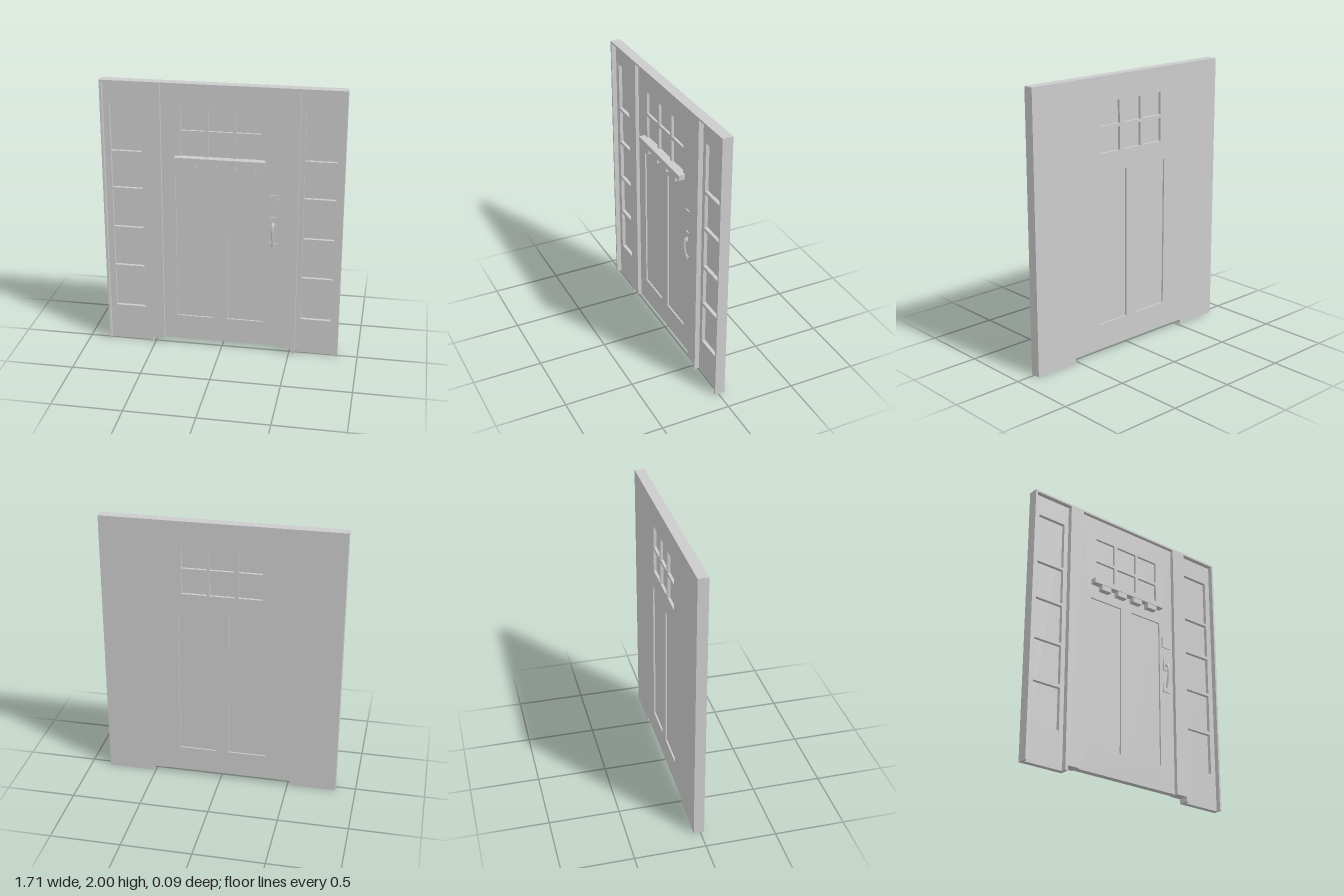
import * as THREE from 'three';

const mat = new THREE.MeshStandardMaterial({ color: 0xcccccc, flatShading: true });
const smooth = new THREE.MeshStandardMaterial({ color: 0xcccccc });

// depth levels
const BACK = -0.047, FRONT = 0.027, DOOR = 0, SIDE = -0.008;

export function createModel() {
  const root = new THREE.Group();

  const add = (name, geo, parent = root, m = mat) => {
    const mesh = new THREE.Mesh(geo, m);
    mesh.name = name;
    parent.add(mesh);
    return mesh;
  };

  const group = (name) => {
    const g = new THREE.Group();
    g.name = name;
    root.add(g);
    return g;
  };

  // box given by its limits
  const box = (name, x0, x1, y0, y1, z0, z1, parent) =>
    add(name, new THREE.BoxGeometry(x1 - x0, y1 - y0, z1 - z0)
      .translate((x0 + x1) / 2, (y0 + y1) / 2, (z0 + z1) / 2), parent);

  const rectPoints = ([x0, x1, y0, y1]) =>
    [[x0, y0], [x1, y0], [x1, y1], [x0, y1]].map(([x, y]) => new THREE.Vector2(x, y));

  // flat slab with rectangular openings
  const slab = (name, points, openings, z0, z1, parent) => {
    const shape = new THREE.Shape(points);
    openings.forEach((o) => shape.holes.push(new THREE.Path(rectPoints(o).reverse())));
    const geo = new THREE.ExtrudeGeometry(shape, { depth: z1 - z0, bevelEnabled: false });
    return add(name, geo.translate(0, 0, z0), parent);
  };

  // frame: head, outer jambs and mullions in one comb-shaped outline
  const half = [
    [0.43, 1.985], [0.43, 0.035], [0.52, 0.035], [0.52, 0], [0.542, 0], [0.542, 1.985],
    [0.84, 1.985], [0.84, 0], [0.855, 0], [0.855, 2],
  ];
  const outline = [
    ...half,
    ...half.map(([x, y]) => [-x, y]).reverse(),
  ].map(([x, y]) => new THREE.Vector2(x, y));
  slab('frame', outline, [], BACK, FRONT);

  // side windows, closed at the back
  const rows = [[0.27, 0.572], [0.598, 0.88], [0.902, 1.182], [1.205, 1.462], [1.482, 1.832]];
  for (const s of [1, -1]) {
    const g = group(s > 0 ? 'leftSidelight' : 'rightSidelight');
    const span = (a, b) => (s > 0 ? [a, b] : [-b, -a]);
    const [x0, x1] = span(0.542, 0.84);
    const panes = rows.map((r) => [...span(0.577, 0.797), ...r]);
    slab('sidelightSash', rectPoints([x0, x1, 0, 1.985]), panes, -0.033, SIDE, g);
    box('sidelightGlass', x0, x1, 0, 1.985, BACK, -0.033, g);
  }

  // door leaf
  const door = group('door');
  const lites = [];
  for (const x of [[-0.292, -0.122], [-0.096, 0.078], [0.1, 0.276]])
    for (const y of [[1.47, 1.637], [1.66, 1.822]]) lites.push([...x, ...y]);
  const panels = [[-0.333, -0.058, 0.226, 1.33], [0.038, 0.306, 0.226, 1.33]];
  slab('doorLeaf', rectPoints([-0.43, 0.43, 0.04, 1.985]), [...lites, ...panels], BACK, DOOR, door);
  lites.forEach(([a, b, c, d]) => box('doorGlass', a, b, c, d, -0.027, -0.018, door));
  panels.forEach(([a, b, c, d]) => box('doorPanel', a, b, c, d, -0.035, -0.012, door));

  // shelf with dentils
  const shelf = group('shelf');
  box('shelfBoard', -0.333, 0.306, 1.435, 1.473, DOOR, 0.047, shelf);
  for (const x of [-0.265, -0.12, 0.02, 0.16])
    box('dentil', x, x + 0.082, 1.398, 1.435, DOOR, 0.043, shelf);

  // lock and handle
  const lock = group('lock');
  box('deadboltPlate', 0.328, 0.402, 1.14, 1.224, DOOR, 0.008, lock);
  box('upperHandlePlate', 0.338, 0.392, 0.96, 1.055, DOOR, 0.008, lock);
  box('lowerHandlePlate', 0.334, 0.396, 0.79, 0.862, DOOR, 0.008, lock);
  box('thumbLatch', 0.35, 0.38, 0.992, 1.002, 0.008, 0.026, lock);
  const grip = new THREE.CatmullRomCurve3([
    [1.015, 0.004], [1.0, 0.022], [0.965, 0.03], [0.92, 0.027], [0.87, 0.017], [0.825, 0.006],
  ].map(([y, z]) => new THREE.Vector3(0.365, y, z)));
  add('handleGrip', new THREE.TubeGeometry(grip, 24, 0.008, 10), lock, smooth);

  return root;
}
